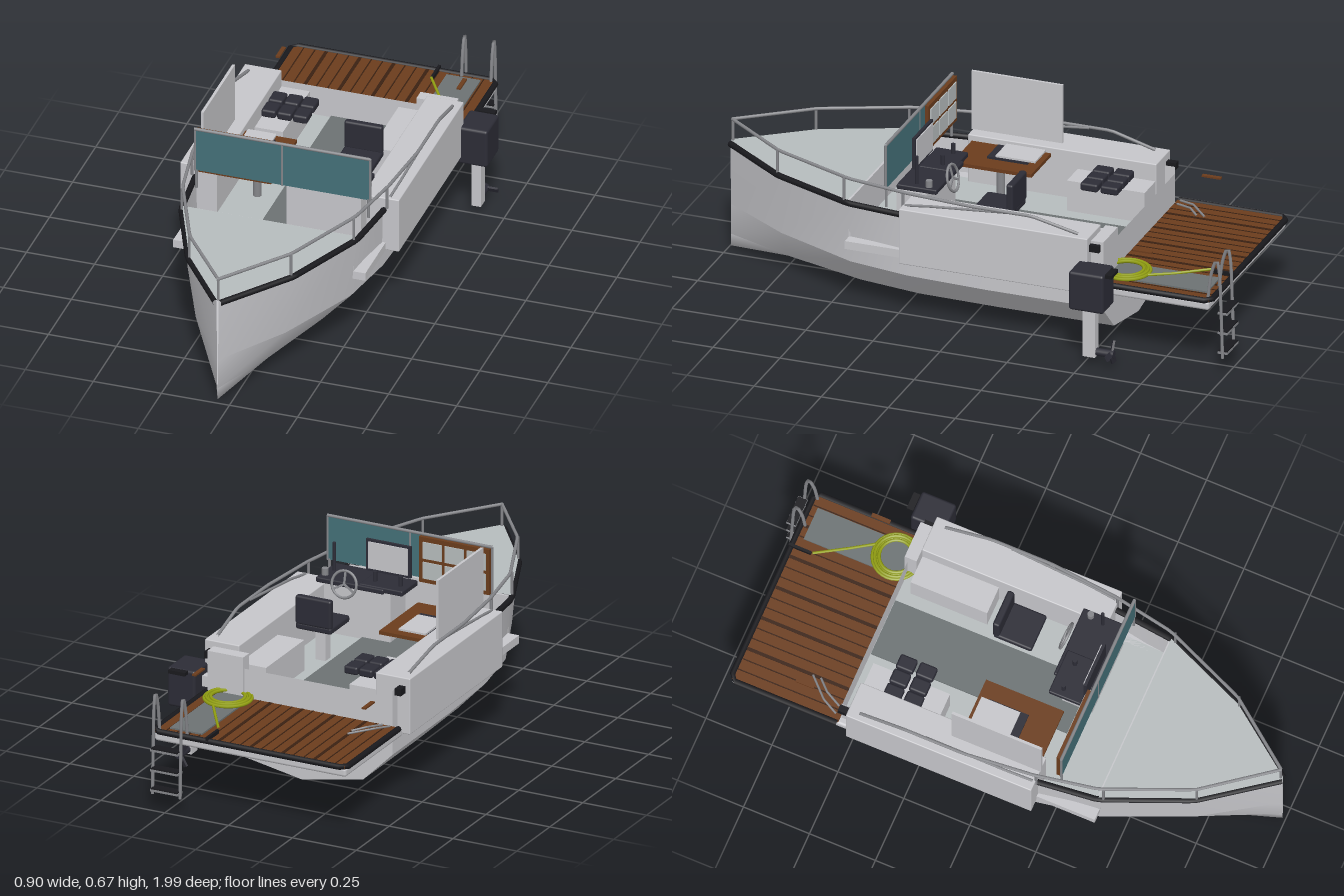
import * as THREE from 'three';
import { RoundedBoxGeometry } from 'three/addons/geometries/RoundedBoxGeometry.js';

const C = -0.047; // centreline of the hull

export function createModel() {
  const root = new THREE.Group();
  root.name = 'motorBoat';
  const mat = (name, color, side = THREE.FrontSide) => {
    const m = new THREE.MeshStandardMaterial({ color, side });
    m.name = name;
    return m;
  };
  const hullMat = mat('hullGrey', 0xc6c6ca, THREE.DoubleSide);
  const deckMat = mat('deckGrey', 0xb6bcbd, THREE.DoubleSide);
  const matGrey = mat('matGrey', 0x6c7273);
  const dark = mat('darkVinyl', 0x2c2c36);
  const black = mat('blackRubber', 0x19191d);
  const wood = mat('wood', 0x6b3c1c);
  const seam = mat('woodSeam', 0x3a2112);
  const glass = mat('tealGlass', 0x447078);
  const metal = mat('metal', 0x85868a);
  const ropeMat = mat('yellowRope', 0x93a012);

  const add = (name, geo, material) => {
    const m = new THREE.Mesh(geo, material);
    m.name = name;
    root.add(m);
    return m;
  };
  // Box from its lower and upper limits on each axis
  const box = (name, m, x0, x1, y0, y1, z0, z1, r = 0) => {
    const s = [x1 - x0, y1 - y0, z1 - z0];
    const g = r ? new RoundedBoxGeometry(...s, 2, r) : new THREE.BoxGeometry(...s);
    g.translate((x0 + x1) / 2, (y0 + y1) / 2, (z0 + z1) / 2);
    return add(name, g, m);
  };
  // Tube along straight segments
  const pipe = (name, m, pts, r) => {
    const path = new THREE.CurvePath();
    const v = pts.map(p => new THREE.Vector3(...p));
    for (let i = 1; i < v.length; i++) path.add(new THREE.LineCurve3(v[i - 1], v[i]));
    return add(name, new THREE.TubeGeometry(path, v.length === 2 ? 1 : v.length * 8, r, 8), m);
  };
  const bar = (name, m, x, y, z, r, h) =>
    add(name, new THREE.CylinderGeometry(r, r, h, 12).translate(x, y + h / 2, z), m);
  const flat = (name, m, outline, y) => {
    const shape = new THREE.Shape(outline.map(([x, z]) => new THREE.Vector2(x, -z)));
    return add(name, new THREE.ShapeGeometry(shape).rotateX(-Math.PI / 2).translate(0, y, 0), m);
  };

  // Hull stations: z, half widths at sheer, upper chine and lower chine
  const stations = [
    [0.99, 0.004, 0.002, 0.001], [0.74, 0.19, 0.165, 0.1], [0.43, 0.32, 0.3, 0.195],
    [0.2, 0.345, 0.34, 0.23], [-0.1, 0.353, 0.353, 0.237], [-0.53, 0.353, 0.353, 0.237],
  ];
  const heights = [0.41, 0.17, 0.055, 0.01];
  for (const s of [-1, 1]) for (let k = 0; k < 3; k++) {
    const pos = [], idx = [];
    stations.forEach((st, i) => {
      for (const j of [k, k + 1]) pos.push(C + s * (j < 3 ? st[j + 1] : 0), heights[j], st[0]);
      const a = i * 2;
      if (i && s > 0) idx.push(a - 2, a - 1, a, a, a - 1, a + 1);
      if (i && s < 0) idx.push(a - 2, a, a - 1, a, a + 1, a - 1);
    });
    const g = new THREE.BufferGeometry();
    g.setAttribute('position', new THREE.Float32BufferAttribute(pos, 3));
    g.setIndex(idx);
    g.computeVertexNormals();
    add(['topside', 'bilge', 'bottom'][k], g, hullMat);
  }
  const half = [[0.353, 0.385], [0.353, 0.17], [0.237, 0.055]];
  const section = [...half.map(([x, y]) => [C + x, y]), [C, 0.01],
    ...half.slice().reverse().map(([x, y]) => [C - x, y])];
  add('transom', new THREE.ShapeGeometry(new THREE.Shape(section.map(p => new THREE.Vector2(...p))))
    .translate(0, 0, -0.53), hullMat);

  // Decks and cockpit floor
  const bow = stations.slice(0, 3);
  flat('foredeck', deckMat, [...bow.map(p => [C + p[1], p[0]]),
    ...bow.slice().reverse().map(p => [C - p[1], p[0]])], 0.415);
  flat('cockpitFloor', deckMat, [[C + 0.35, -0.53], [C - 0.35, -0.53], [C - 0.31, 0.43], [C + 0.31, 0.43]], 0.27);
  box('foredeckBulkhead', hullMat, C - 0.31, C + 0.31, 0.27, 0.412, 0.425, 0.432);
  box('floorMat', matGrey, -0.145, 0.07, 0.271, 0.277, -0.528, 0.255);

  // Parts on both sides: pods, fenders, rub rails and guard rails
  for (const s of [-1, 1]) {
    const side = (name, m, a, b, ...rest) =>
      box(name, m, Math.min(C + s * a, C + s * b), Math.max(C + s * a, C + s * b), ...rest);
    side('sidePod', hullMat, 0.267, 0.402, 0.24, 0.45, -0.493, 0.21, 0.004);
    side('sideStep', hullMat, 0.295, 0.353, 0.24, 0.27, 0.2, 0.43);
    side('sideBench', hullMat, 0.163, 0.267, 0.27, 0.385, -0.49, -0.2);
    side('sternFender', black, 0.36, 0.385, 0.395, 0.42, -0.53, -0.49);
    side('floatingPlank', wood, 0.325, 0.34, 0.402, 0.408, -0.71, -0.64);
    pipe('rubRail', black, [...bow, stations[3]].map(p => [C + s * (p[1] + 0.003), 0.402, p[0]]), 0.011);
    pipe('guardRail', metal, [[0, 0.985], [0.187, 0.74], [0.318, 0.43], [0.36, 0.2], [0.383, -0.05], [0.383, -0.28]]
      .map(([x, z]) => [C + s * x, 0.495, z]).concat([[C + s * 0.375, 0.452, -0.45]]), 0.006);
    pipe('podHandrail', metal, [[0.365, 0.45, 0.2], [0.372, 0.465, 0.1], [0.38, 0.493, -0.2]]
      .map(([x, y, z]) => [C + s * x, y, z]), 0.005);
    for (const [x, z] of [[0.187, 0.745], [0.316, 0.447], [0.358, 0.21]])
      bar('railPost', metal, C + s * x, 0.41, z, 0.005, 0.085);
  }
  bar('bowPost', metal, C, 0.41, 0.983, 0.005, 0.085);

  // Windscreen and its frame
  box('windscreen', glass, -0.365, 0.275, 0.482, 0.642, 0.286, 0.292);
  pipe('windscreenTop', metal, [[-0.37, 0.646, 0.289], [0.278, 0.646, 0.289]], 0.006);
  for (const x of [-0.367, C, 0.276]) bar('windscreenPost', metal, x, 0.48, 0.289, 0.005, 0.166);
  for (const x of [-0.362, 0.27]) bar('windscreenLeg', metal, x, 0.41, 0.289, 0.005, 0.075);
  box('sidePanel', hullMat, -0.371, -0.361, 0.45, 0.672, -0.125, 0.215);

  // Panelled door: wooden board with pale panes
  box('door', wood, -0.365, -0.09, 0.472, 0.642, 0.27, 0.284);
  for (let i = 0; i < 3; i++) for (let j = 0; j < 2; j++) {
    const x = -0.352 + i * 0.086, y = 0.488 + j * 0.075;
    box('doorPane', deckMat, x, x + 0.074, y, y + 0.062, 0.266, 0.27);
  }

  // Helm console, display, levers and wheel
  box('console', hullMat, -0.04, 0.235, 0.27, 0.466, 0.15, 0.265);
  box('dashboard', dark, -0.03, 0.235, 0.466, 0.485, 0.115, 0.265, 0.005);
  box('chartShelf', dark, -0.1, 0.07, 0.468, 0.488, 0.125, 0.245, 0.005);
  box('displayFrame', dark, -0.07, 0.105, 0.488, 0.606, 0.245, 0.256);
  box('displayFace', hullMat, -0.06, 0.095, 0.498, 0.598, 0.241, 0.245);
  bar('tallLever', dark, 0.205, 0.48, 0.2, 0.006, 0.11);
  for (const x of [-0.07, 0.03]) bar('knob', dark, x, 0.485, 0.17, 0.008, 0.04);
  bar('cup', metal, 0.215, 0.485, 0.15, 0.012, 0.025);
  const wheel = new THREE.Group();
  wheel.name = 'steeringWheel';
  wheel.add(new THREE.Mesh(new THREE.TorusGeometry(0.048, 0.005, 8, 28), metal));
  for (let i = 0; i < 3; i++) {
    const spoke = new THREE.Mesh(new THREE.BoxGeometry(0.007, 0.048, 0.005).translate(0, 0.024, 0), metal);
    spoke.rotation.z = i * Math.PI * 2 / 3;
    wheel.add(spoke);
  }
  wheel.position.set(0.115, 0.485, 0.1);
  wheel.rotation.x = 0.25;
  root.add(wheel);

  // Helm seat
  box('seatPedestal', hullMat, 0.09, 0.13, 0.27, 0.395, -0.09, -0.05);
  box('seatCushion', dark, 0.04, 0.18, 0.395, 0.42, -0.145, 0, 0.008);
  box('seatBackrest', dark, 0.04, 0.18, 0.415, 0.522, -0.148, -0.122, 0.008);

  // Table with tray, and cushions
  box('table', wood, -0.315, -0.125, 0.415, 0.428, -0.1, 0.195);
  bar('tableLeg', metal, -0.22, 0.27, 0.05, 0.015, 0.146);
  box('trayBase', dark, -0.297, -0.19, 0.43, 0.438, -0.06, 0.09);
  box('tray', hullMat, -0.3, -0.195, 0.438, 0.445, -0.087, 0.06);
  for (let i = 0; i < 3; i++) for (let j = 0; j < 2; j++) {
    const x = -0.316 + i * 0.058, z = -0.412 + j * 0.075;
    box('cushion', dark, x, x + 0.053, 0.385, 0.415, z, z + 0.065, 0.008);
  }

  // Swim platform with planking, dark edge and grey mat
  box('platformBase', hullMat, -0.425, 0.325, 0.235, 0.268, -0.935, -0.5, 0.01);
  box('planking', wood, -0.422, 0.322, 0.268, 0.278, -0.935, -0.533);
  for (let i = 1; i < 18; i++) {
    const x = -0.422 + i * 0.744 / 18, w = i % 3 ? 0.002 : 0.006;
    box('plankSeam', seam, x - w, x + w, 0.278, 0.2795, -0.93, -0.534);
  }
  pipe('platformEdge', black, [[-0.426, 0.274, -0.535], [-0.426, 0.274, -0.925], [-0.412, 0.274, -0.94],
    [0.312, 0.274, -0.94], [0.326, 0.274, -0.925], [0.326, 0.274, -0.535]], 0.011);
  box('platformMat', matGrey, 0.15, 0.275, 0.279, 0.285, -0.91, -0.533);
  box('sternBlock', hullMat, 0.18, 0.32, 0.28, 0.43, -0.54, -0.495);
  box('cleat', black, 0.106, 0.116, 0.278, 0.292, -0.95, -0.865);
  for (const d of [0, 0.03]) pipe('mooringHandle', metal, [[-0.4 + d, 0.285, -0.55],
    [-0.37 + d, 0.292, -0.61], [-0.3, 0.285, -0.68 + d]], 0.004);

  // Rope coil and its loose end
  for (let i = 0; i < 4; i++) {
    const ring = add('ropeCoil', new THREE.TorusGeometry(0.084 - i * 0.008, 0.006, 6, 28), ropeMat);
    ring.rotation.x = Math.PI / 2;
    ring.position.set(0.215, 0.29 + (i % 2) * 0.005, -0.587);
  }
  pipe('ropeEnd', ropeMat, [[0.111, 0.292, -0.86], [0.18, 0.287, -0.75], [0.25, 0.291, -0.64]], 0.005);

  // Boarding ladder
  for (const x of [0.2, 0.308]) {
    const curve = new THREE.CatmullRomCurve3([[0.27, -0.925], [0.38, -0.94], [0.425, -0.958], [0.39, -0.967],
      [0.25, -0.974], [0.055, -0.98]].map(([y, z]) => new THREE.Vector3(x, y, z)));
    add('ladderRail', new THREE.TubeGeometry(curve, 32, 0.006, 8), metal);
  }
  for (const y of [0.07, 0.145, 0.22]) {
    box('ladderStep', metal, 0.2, 0.308, y, y + 0.008, -0.998, -0.962);
    box('ladderTread', black, 0.203, 0.305, y + 0.008, y + 0.013, -0.997, -0.963);
  }

  // Outboard motor
  box('motorCowl', dark, 0.343, 0.452, 0.217, 0.363, -0.59, -0.46, 0.01);
  box('motorCap', black, 0.37, 0.435, 0.35, 0.363, -0.615, -0.59);
  box('motorLeg', hullMat, 0.38, 0.415, 0.03, 0.22, -0.545, -0.5);
  box('motorBracket', hullMat, 0.3, 0.36, 0.29, 0.33, -0.535, -0.5);
  add('propellerHub', new THREE.CylinderGeometry(0.014, 0.014, 0.07, 12).rotateX(Math.PI / 2)
    .translate(0.397, 0.047, -0.575), dark);
  for (let i = 0; i < 3; i++) {
    const blade = add('propellerBlade', new THREE.BoxGeometry(0.02, 0.045, 0.008).rotateY(0.5)
      .translate(0, 0.025, 0), dark);
    blade.position.set(0.397, 0.047, -0.6);
    blade.rotation.z = -Math.PI / 2 + i * Math.PI * 2 / 3;
  }
  return root;
}
